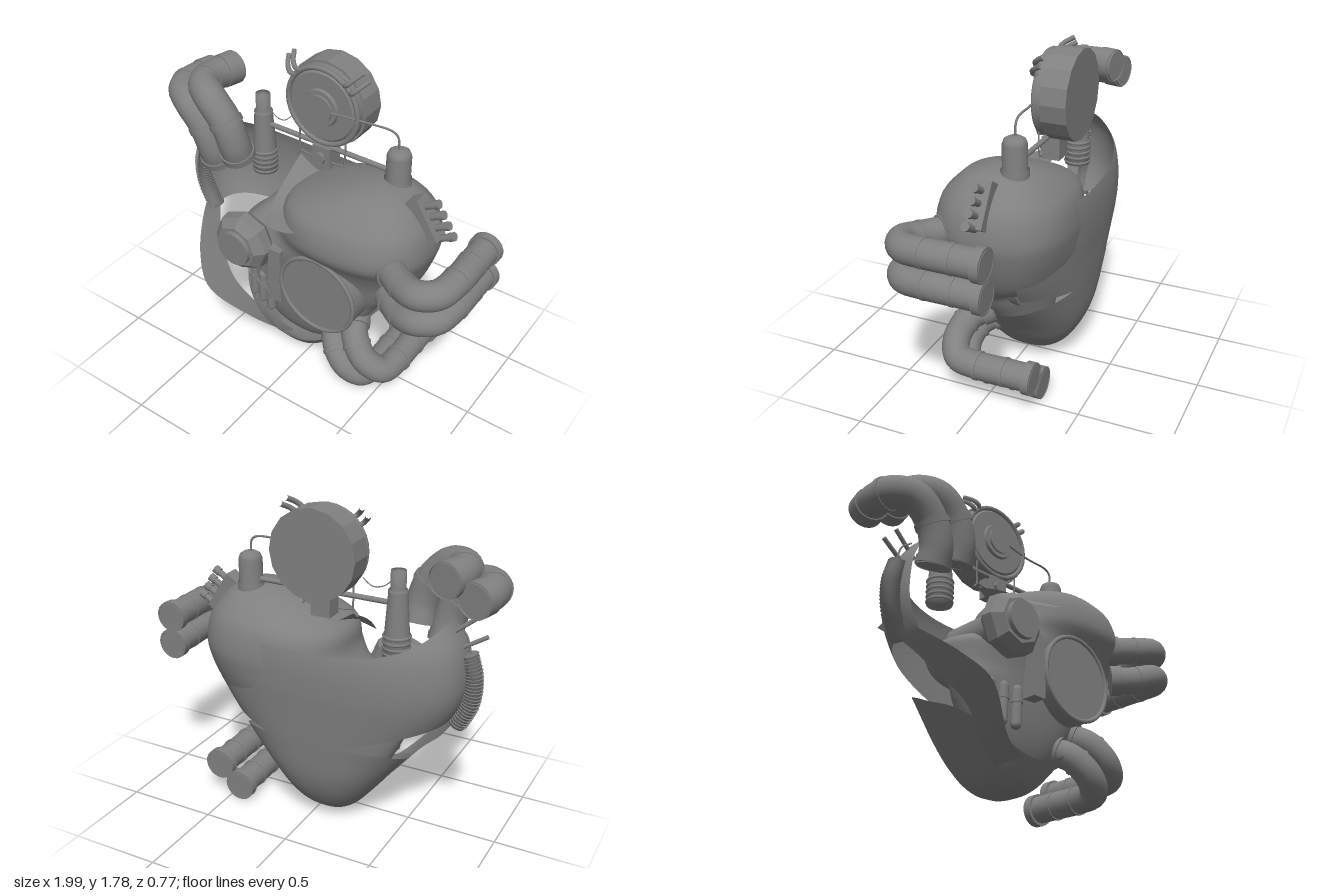
import * as THREE from 'three';
import { mergeVertices } from 'three/addons/utils/BufferGeometryUtils.js';

const PI = Math.PI;
const V = (a) => new THREE.Vector3(...a);
const curve = (pts) => new THREE.CatmullRomCurve3(pts.map(V), false, 'centripetal');

// Cross-sections: [y, left x, right x, front z, back z]
const INNER = [
  [0.06, -0.12, 0.0, 0.02, -0.08], [0.16, -0.24, 0.14, 0.12, -0.1], [0.28, -0.34, 0.25, 0.17, -0.11],
  [0.45, -0.43, 0.38, 0.2, -0.12], [0.56, -0.47, 0.45, 0.21, -0.14], [0.615, -0.48, 0.53, 0.22, -0.26],
  [0.68, -0.49, 0.58, 0.235, -0.33], [0.76, -0.48, 0.62, 0.25, -0.36],
  [0.86, -0.26, 0.655, 0.275, -0.37], [0.96, -0.17, 0.68, 0.325, -0.375], [1.1, -0.13, 0.655, 0.3, -0.345],
  [1.18, 0.02, 0.6, 0.23, -0.28], [1.24, 0.18, 0.53, 0.15, -0.2], [1.275, 0.31, 0.44, 0.04, -0.1], [1.285, 0.38, 0.38, -0.03, -0.03]];
const OUTER = [
  [0.01, -0.07, -0.07, -0.05, -0.05], [0.05, -0.19, 0.05, 0.1, -0.16], [0.15, -0.29, 0.16, 0.2, -0.26],
  [0.3, -0.41, 0.28, 0.29, -0.33], [0.5, -0.57, 0.45, 0.33, -0.36], [0.7, -0.73, 0.6, 0.33, -0.375],
  [0.85, -0.795, 0.66, 0.33, -0.385], [1.0, -0.8, 0.685, 0.33, -0.38], [1.12, -0.77, 0.66, 0.3, -0.35],
  [1.25, -0.68, 0.58, 0.2, -0.27]];

// Smooth interpolation of a cross-section at height y
function section(table, y) {
  let i = 0;
  while (i < table.length - 2 && y > table[i + 1][0]) i++;
  const a = table[i], b = table[i + 1], p = table[i - 1] || a, n = table[i + 2] || b;
  const h = b[0] - a[0], t = THREE.MathUtils.clamp((y - a[0]) / h, 0, 1);
  return [1, 2, 3, 4].map((k) => {
    const m0 = (b[k] - p[k]) / (b[0] - p[0]) * h, m1 = (n[k] - a[k]) / (n[0] - a[0]) * h;
    return (2 * t ** 3 - 3 * t * t + 1) * a[k] + (t ** 3 - 2 * t * t + t) * m0
      + (3 * t * t - 2 * t ** 3) * b[k] + (t ** 3 - t * t) * m1;
  });
}

function grid(nu, nv, point) {
  const pos = [], idx = [];
  for (let j = 0; j <= nv; j++) for (let i = 0; i <= nu; i++) {
    pos.push(...point(i / nu, j / nv));
    if (i < nu && j < nv) {
      const a = j * (nu + 1) + i, b = a + nu + 1;
      idx.push(a, b, a + 1, a + 1, b, b + 1);
    }
  }
  let g = new THREE.BufferGeometry();
  g.setAttribute('position', new THREE.Float32BufferAttribute(pos, 3));
  g.setIndex(idx);
  g = mergeVertices(g, 1e-5);
  g.computeVertexNormals();
  return g;
}

// Part of a lofted hull between two angles and two height rules
function patch(table, t0, t1, lo, hi, grow = 0) {
  return grid(72, 48, (u, v) => {
    const t = t0 + (t1 - t0) * u, y = lo(t) + (hi(t) - lo(t)) * v;
    const [l, r, f, b] = section(table, y);
    const c = Math.cos(t), s = Math.sin(t), e = 0.82;
    return [(l + r) / 2 + ((r - l) / 2 + grow) * Math.sign(c) * Math.abs(c) ** e, y,
      (f + b) / 2 + ((f - b) / 2 + grow) * Math.sign(s) * Math.abs(s) ** e];
  });
}

export function createModel() {
  const model = new THREE.Group();
  const color = 0x808080;
  const solid = new THREE.MeshStandardMaterial({ color });
  const thin = new THREE.MeshStandardMaterial({ color, side: THREE.DoubleSide });
  const faceted = new THREE.MeshStandardMaterial({ color, flatShading: true });
  const add = (name, geo, mat = solid, parent = model) => {
    const m = new THREE.Mesh(geo, mat);
    m.name = name;
    parent.add(m);
    return m;
  };
  // Cylinder between two points
  const rod = (name, a, b, r0, r1 = r0, sides = 20, mat = solid, parent = model) => {
    const p = V(a), q = V(b), d = q.clone().sub(p);
    const m = add(name, new THREE.CylinderGeometry(r1, r0, d.length(), sides), mat, parent);
    m.position.copy(p).lerp(q, 0.5);
    m.quaternion.setFromUnitVectors(new THREE.Vector3(0, 1, 0), d.normalize());
  };
  const wire = (name, pts, r = 0.005) => add(name, new THREE.TubeGeometry(curve(pts), 32, r, 6));
  // Bent pipe with collars: [position along path, length, radius]
  const pipe = (name, pts, r, collars) => {
    const g = new THREE.Group(), c = curve(pts);
    g.name = name;
    model.add(g);
    add('pipeBend', new THREE.TubeGeometry(c, 48, r, 20), thin, g);
    for (const [t, len, cr] of collars) {
      const p = c.getPointAt(t), d = c.getTangentAt(t).multiplyScalar(len / 2);
      rod('pipeCollar', p.clone().sub(d).toArray(), p.clone().add(d).toArray(), cr, cr, 24, solid, g);
    }
  };

  // Heart hull: inner body with right lobe, back shell and lower cup
  const leftward = (t) => Math.max(0, -Math.cos(t));
  add('innerBody', patch(INNER, 0, 2 * PI, () => 0.06, () => 1.285), thin);
  add('backShell', patch(OUTER, PI * 0.93, PI * 1.88, (t) => 0.5 + 0.2 * leftward(t) + 0.1 * Math.max(0, Math.cos(t)),
    (t) => 1.06 + 0.17 * leftward(t) ** 2), thin);
  add('lowerCup', patch(OUTER, 0, 2 * PI, () => 0.01, (t) => 0.36 - 0.19 * Math.sin(t) + 0.05 * Math.cos(t) ** 2, 0.004), thin);

  // Curved strap from the left flank to the front of the cup
  const front = curve([[-0.8, 0.8, -0.05], [-0.74, 0.68, 0.12], [-0.63, 0.54, 0.29], [-0.51, 0.42, 0.37], [-0.3, 0.22, 0.26], [-0.12, 0.15, 0.19]]);
  const back = curve([[-0.8, 0.76, -0.15], [-0.73, 0.66, -0.02], [-0.62, 0.5, 0.1], [-0.49, 0.36, 0.17], [-0.31, 0.16, 0.12], [-0.13, 0.06, 0.08]]);
  add('flankStrap', grid(40, 4, (u, v) => front.getPoint(u).lerp(back.getPoint(u), v).toArray()), thin);
  // Pointed lip at the saddle
  const ridge = curve([[-0.19, 1.2, -0.1], [-0.08, 1.14, -0.1], [0.06, 1.17, -0.1], [0.2, 1.23, -0.1]]);
  const brow = curve([[-0.16, 0.98, 0.26], [-0.1, 0.98, 0.29], [0.0, 1.0, 0.3], [0.15, 1.06, 0.29]]);
  add('saddleLip', grid(16, 10, (u, v) => {
    const p = ridge.getPoint(u).lerp(brow.getPoint(u), v), bulge = 0.04 * Math.sin(PI * v);
    return [p.x, p.y + bulge * u, p.z + bulge];
  }), thin);

  // Front drum with raised rim
  rod('frontDrum', [0.18, 0.65, -0.1], [0.18, 0.65, 0.28], 0.235, 0.235, 40);
  add('drumRim', new THREE.TorusGeometry(0.23, 0.012, 8, 48)).position.set(0.18, 0.65, 0.28);
  add('dividerBlock', new THREE.BoxGeometry(0.08, 0.35, 0.2)).position.set(-0.1, 0.645, 0.18);

  // Left valve: stem, flared nut and cap
  rod('valveStem', [-0.3, 0.8, -0.1], [-0.3, 0.8, 0.24], 0.1);
  for (const [z0, z1, r0, r1] of [[0.21, 0.25, 0.14, 0.175], [0.25, 0.31, 0.175, 0.17], [0.31, 0.355, 0.17, 0.125]])
    rod('valveNut', [-0.3, 0.8, z0], [-0.3, 0.8, z1], r0, r1, 8, faceted);
  rod('valveCap', [-0.3, 0.8, 0.33], [-0.3, 0.8, 0.38], 0.105, 0.1, 24);

  // Three capsules
  for (let i = 0; i < 3; i++) {
    const x = -0.335 + i * 0.075, y = 0.43 - i * 0.008, z = 0.16 + i * 0.02;
    const c = add('capsule', new THREE.CapsuleGeometry(0.028, 0.18, 6, 14));
    c.position.set(x, y, z);
    c.rotation.z = -0.05;
    rod('capsuleBand', [x, y + 0.02, z], [x, y + 0.045, z], 0.034);
  }

  // Right-hand, lower and upper pipe pairs
  const ends = [[0.04, 0.06, 0.085], [0.2, 0.02, 0.079], [0.62, 0.015, 0.079], [0.8, 0.015, 0.079], [0.97, 0.045, 0.088]];
  for (const [y0, y1, x0] of [[0.96, 1.01, 0.55], [0.78, 0.845, 0.57]])
    pipe('sidePipe', [[x0, y0, 0.18], [0.68, y0 + 0.01, 0.27], [0.79, y1 - 0.02, 0.31], [0.875, y1 - 0.01, 0.26], [0.905, y1, 0.13], [0.905, y1, -0.03], [0.905, y1, -0.19]], 0.076, ends);
  for (const [dx, dy] of [[0, 0], [-0.13, -0.105]])
    pipe('lowerPipe', [[0.3 + dx, 0.41 + dy, 0.08], [0.37 + dx, 0.355 + dy, 0.18], [0.46 + dx, 0.27 + dy, 0.215], [0.54 + dx, 0.21 + dy, 0.17], [0.56 + dx, 0.2 + dy, 0.06], [0.56 + dx, 0.2 + dy, -0.1], [0.56 + dx, 0.2 + dy, -0.28]], 0.074, ends);
  for (const [dx, dy] of [[0, 0], [0.15, 0.075]])
    pipe('upperPipe', [[-0.64 + dx, 1.08 + dy, 0.06], [-0.645 + dx, 1.18 + dy, 0.09], [-0.69 + dx, 1.31 + dy, 0.1], [-0.79 + dx, 1.41 + dy, 0.09], [-0.88 + dx, 1.43 + dy, 0.03], [-0.905 + dx, 1.43 + dy, -0.07], [-0.875 + dx, 1.43 + dy, -0.23]], 0.087,
      [[0.03, 0.04, 0.094], [0.3, 0.03, 0.094], [0.72, 0.03, 0.092], [0.93, 0.09, 0.093]]);

  // Top drum: 16-sided housing with stepped face
  const cx = -0.05, cy = 1.54;
  for (const [z0, z1, r0, r1, n] of [[-0.28, -0.14, 0.24, 0.24, 16], [-0.14, -0.1, 0.225, 0.225, 32], [-0.1, -0.09, 0.2, 0.19, 32], [-0.1, -0.075, 0.11, 0.1, 24], [-0.1, -0.065, 0.08, 0.075, 24]])
    rod('drumHousing', [cx, cy, z0], [cx, cy, z1], r0, r1, n, n === 16 ? faceted : solid);
  add('housingRim', new THREE.TorusGeometry(0.215, 0.014, 8, 32)).position.set(cx, cy, -0.1);
  for (const s of [-1, 1]) {
    for (const d of [0, 0.035])
      wire('drumHorn', [[cx + s * (0.13 + d), cy + 0.16 - d, -0.11], [cx + s * (0.155 + d), cy + 0.18 - d, -0.085],
        [cx + s * (0.18 + d), cy + 0.205 - d, -0.1], [cx + s * (0.21 + d), cy + 0.235 - d, -0.15]], 0.014);
    // Cradle wires under the drum
    wire('cradleWire', [[cx + s * 0.145, 1.4, -0.1], [cx + s * 0.145, 1.3, -0.1], [cx + s * 0.145, 1.22, -0.1], [cx + s * 0.17, 1.19, -0.1]]);
    wire('cradleHook', [[cx + s * 0.145, 1.23, -0.1], [cx + s * 0.1, 1.22, -0.1], [cx + s * 0.06, 1.22, -0.1]]);
  }
  add('cradleBlock', new THREE.BoxGeometry(0.11, 0.12, 0.1)).position.set(cx + 0.005, 1.245, -0.13);
  rod('cradleKnob', [cx, 1.24, -0.1], [cx, 1.24, -0.06], 0.035, 0.035, 8, faceted);
  rod('crossRod', [-0.42, 1.305, -0.11], [0.36, 1.305, -0.11], 0.014);
  wire('feedWire', [[0.02, 1.54, -0.07], [0.2, 1.537, -0.1], [0.37, 1.535, -0.11], [0.4, 1.51, -0.11], [0.405, 1.44, -0.11]], 0.006);
  wire('slackWire', [[-0.41, 1.42, -0.11], [-0.36, 1.38, -0.1], [-0.3, 1.37, -0.1], [-0.25, 1.41, -0.11]], 0.003);

  // Bottle on the right lobe and ribbed pillar on the left
  const lathe = (name, pts, x, z) => add(name, new THREE.LatheGeometry(pts.map((p) => new THREE.Vector2(...p)), 24), thin).position.set(x, 0, z);
  lathe('bottle', [[0.072, 1.2], [0.072, 1.28], [0.064, 1.285], [0.064, 1.41], [0.055, 1.435], [0.035, 1.448], [0, 1.45]], 0.41, -0.11);
  lathe('pillar', [[0, 1.0], [0.07, 1.0], [0.07, 1.14], [0.065, 1.15], [0.05, 1.37], [0.052, 1.375], [0.04, 1.39], [0.04, 1.48], [0, 1.48]], -0.445, -0.11);
  for (let i = 0; i < 5; i++) {
    const t = add('pillarRing', new THREE.TorusGeometry(0.065, 0.01, 8, 24));
    t.position.set(-0.445, 1.015 + i * 0.03, -0.11);
    t.rotation.x = PI / 2;
  }

  // Peg rail on the right shoulder
  const rail = add('pegRail', new THREE.BoxGeometry(0.1, 0.24, 0.09));
  rail.position.set(0.615, 1.155, -0.03);
  rail.rotation.z = 0.57;
  for (let i = 0; i < 4; i++) {
    const x = 0.6 + i * 0.033, y = 1.225 - i * 0.052;
    rod('peg', [x, y, -0.03], [x + 0.09, y + 0.055, -0.03], 0.018, 0.018, 12);
    rod('pegCap', [x + 0.065, y + 0.04, -0.03], [x + 0.095, y + 0.058, -0.03], 0.023, 0.023, 12);
  }

  // Bellows and thin spikes on the left flank
  const bellows = curve([[-0.8, 1.06, -0.02], [-0.83, 0.95, -0.02], [-0.82, 0.8, -0.02], [-0.76, 0.67, -0.02]]);
  for (let i = 0; i < 24; i++) {
    const p = bellows.getPointAt(i / 23), t = bellows.getTangentAt(i / 23).multiplyScalar(0.01);
    rod('bellowsRib', p.clone().sub(t).toArray(), p.clone().add(t).toArray(), 0.052, 0.042, 20);
  }
  rod('flankSpike', [-0.89, 1.18, -0.02], [-0.74, 1.09, -0.04], 0.012, 0.012, 8);
  rod('flankSpike', [-0.82, 1.26, -0.02], [-0.68, 1.15, -0.04], 0.012, 0.012, 8);
  wire('flankWire', [[-0.72, 1.22, -0.02], [-0.78, 1.17, -0.02], [-0.81, 1.05, -0.02]]);
  return model;
}
